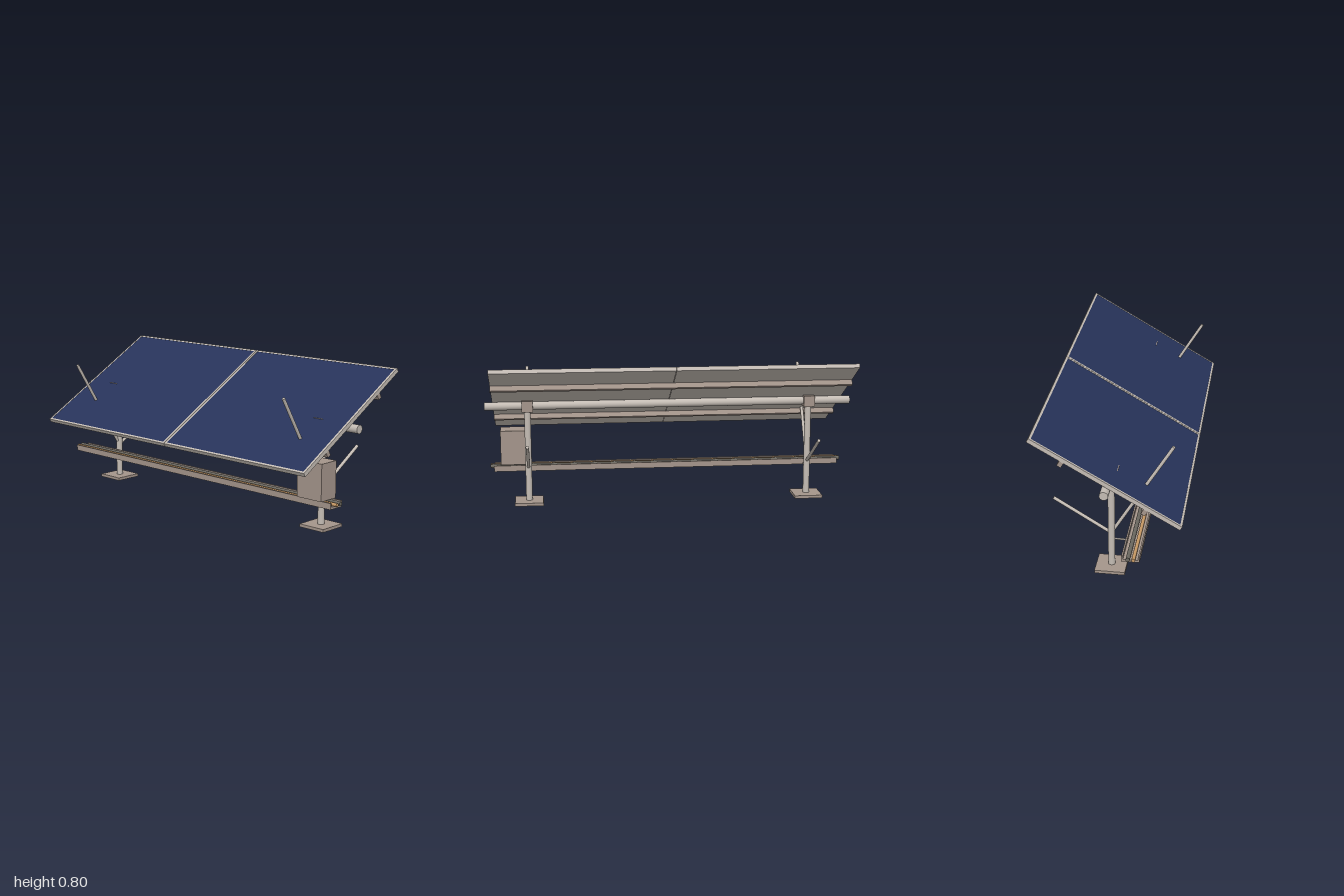
import * as THREE from 'three';

export function createModel() {
  const model = new THREE.Group();
  const material = (name, color) => {
    const m = new THREE.MeshStandardMaterial({ color });
    m.name = name;
    return m;
  };
  const galvanized = material('galvanized steel', 0xc4bcb4);
  const painted = material('painted steel', 0xa4958b);
  const glass = material('solar glass', 0x27335a);
  const greyCable = material('grey cable', 0x6b6860);
  const copperCable = material('copper cable', 0xc89a66);

  function add(parent, name, geometry, mat, x = 0, y = 0, z = 0) {
    const mesh = new THREE.Mesh(geometry, mat);
    mesh.name = name;
    mesh.position.set(x, y, z);
    parent.add(mesh);
    return mesh;
  }
  const box = (parent, name, mat, w, h, d, x, y, z) =>
    add(parent, name, new THREE.BoxGeometry(w, h, d), mat, x, y, z);

  // Round bar between two points
  function rod(parent, name, mat, radius, from, to, sides = 24) {
    const a = new THREE.Vector3(...from), b = new THREE.Vector3(...to);
    const dir = b.clone().sub(a);
    const mesh = add(parent, name, new THREE.CylinderGeometry(radius, radius, dir.length(), sides), mat);
    mesh.position.copy(a).add(b).multiplyScalar(0.5);
    mesh.quaternion.setFromUnitVectors(new THREE.Vector3(0, 1, 0), dir.normalize());
    return mesh;
  }

  // Tilted array: two framed panels on two purlins
  const array = new THREE.Group();
  array.name = 'tiltedPanelArray';
  array.position.set(0, 0.578, 0);
  array.rotation.x = Math.PI / 6;
  model.add(array);

  const width = 0.957, depth = 0.844, thick = 0.022, rim = 0.012;
  const rect = (Type, w, h) => new Type([
    new THREE.Vector2(-w / 2, -h / 2), new THREE.Vector2(w / 2, -h / 2),
    new THREE.Vector2(w / 2, h / 2), new THREE.Vector2(-w / 2, h / 2),
  ]);
  const frameShape = rect(THREE.Shape, width, depth);
  frameShape.holes.push(rect(THREE.Path, width - 2 * rim, depth - 2 * rim));
  const frameGeometry = new THREE.ExtrudeGeometry(frameShape, { depth: thick, bevelEnabled: false });
  frameGeometry.rotateX(-Math.PI / 2).translate(0, -thick / 2, 0);

  for (const side of [-1, 1]) {
    const panel = new THREE.Group();
    panel.name = side > 0 ? 'leftPanel' : 'rightPanel';
    panel.position.x = side * (width / 2 + 0.001);
    array.add(panel);
    add(panel, 'panelFrame', frameGeometry, galvanized);
    box(panel, 'panelBack', galvanized, width - 2 * rim, 0.018, depth - 2 * rim, 0, -0.002, 0);
    box(panel, 'panelGlass', glass, width - 2 * rim, 0.003, depth - 2 * rim, 0, 0.0085, 0);
  }
  for (const z of [-0.231, 0.231]) {
    box(array, 'purlin', painted, 1.916, 0.028, 0.023, 0, -0.025, z);
  }

  // Main torque pipe
  rod(model, 'torquePipe', galvanized, 0.022, [-1, 0.54, 0], [1, 0.54, 0], 32);

  // Two supports with foot plate, post, bearing block and braces
  for (const side of [-1, 1]) {
    const support = new THREE.Group();
    support.name = side > 0 ? 'leftSupport' : 'rightSupport';
    support.position.x = side * 0.77;
    model.add(support);
    box(support, 'footPlate', painted, 0.154, 0.016, 0.154, 0, 0.008, 0);
    rod(support, 'post', galvanized, 0.0175, [0, 0.012, 0], [0, 0.54, 0], 32);
    box(support, 'bearingBlock', painted, 0.06, 0.06, 0.076, 0, 0.54, 0);
    rod(support, 'frontBrace', galvanized, 0.0085, [0, 0.2, 0], [0, 0.704, 0.306]);
    rod(support, 'rearBrace', galvanized, 0.0085, [0, 0.197, 0], [0, 0.377, -0.289]);
    rod(support, 'trayArm', galvanized, 0.005, [0, 0.163, 0], [0, 0.163, 0.1], 16);
  }

  // Open cable tray with two cables
  const tray = new THREE.Group();
  tray.name = 'cableTray';
  model.add(tray);
  box(tray, 'trayFloor', painted, 1.92, 0.012, 0.09, 0, 0.164, 0.122);
  for (const z of [0.081, 0.163]) {
    box(tray, 'trayWall', painted, 1.92, 0.031, 0.008, 0, 0.1745, z);
  }
  rod(tray, 'copperCable', copperCable, 0.009, [-0.98, 0.18, 0.138], [0.98, 0.18, 0.138]);
  rod(tray, 'greyCable', greyCable, 0.0105, [-0.98, 0.182, 0.111], [0.98, 0.182, 0.111]);

  // Electrical cabinet
  box(model, 'cabinet', painted, 0.154, 0.19, 0.114, 0.845, 0.29, 0.135);

  return model;
}
